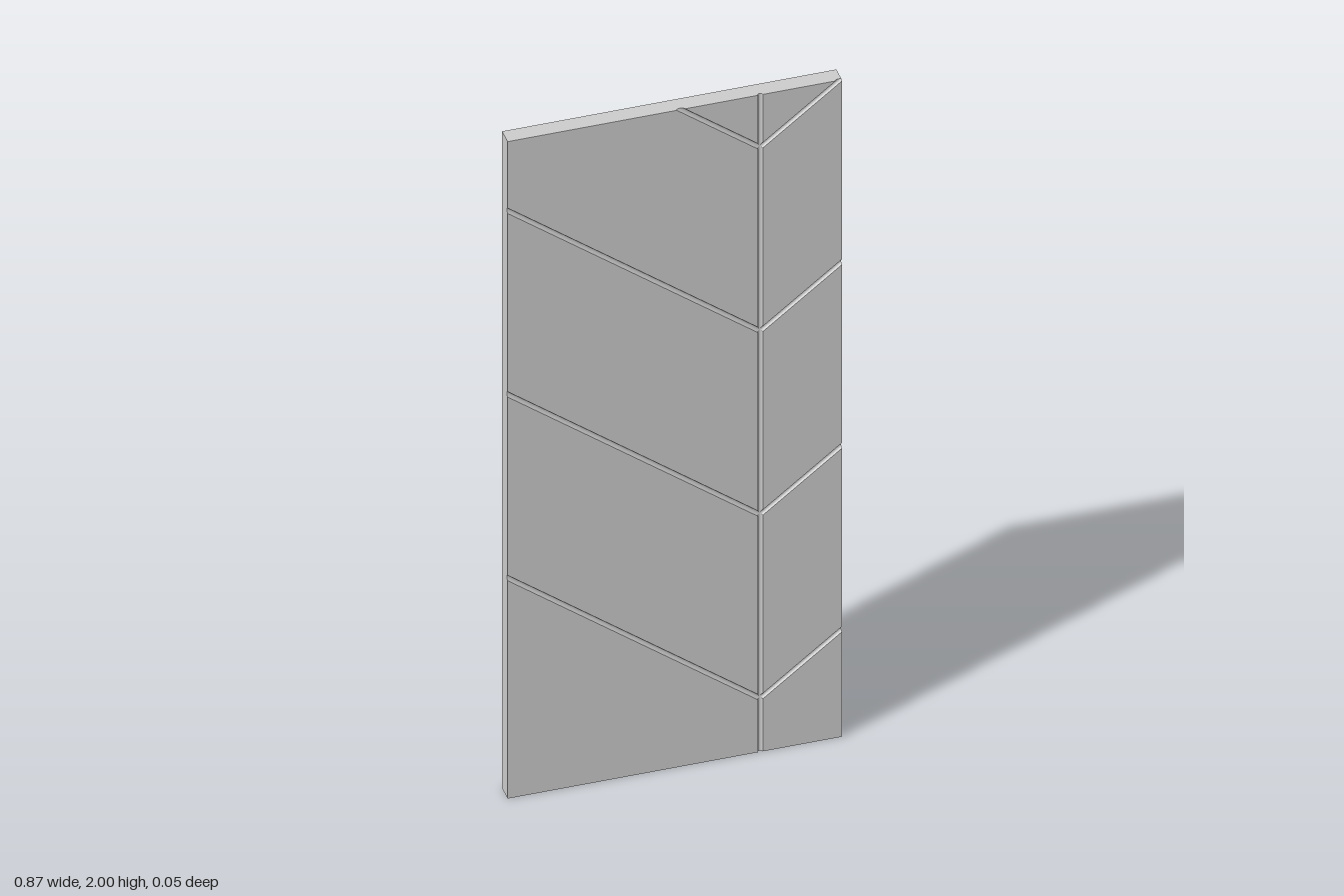
import * as THREE from 'three';

const HALF_W = 0.434, HEIGHT = 2, HALF_D = 0.023; // panel size
const R = 0.0065;                                 // groove radius
const SPINE_X = 0.222, SLOPE = 0.775;             // vertical groove, slant of the others
const JOINTS = [-10, 0.163, 0.722, 1.281, 1.84, 10]; // where slanted grooves meet the spine
const STEPS = 6;

// Outline of one tile, its grooved edges pulled back by w.
// side: +1 or -1 of the spine; low, high: joint heights bounding the tile.
function tileOutline(side, low, high, w) {
  const lift = w * Math.hypot(1, SLOPE);
  const clampY = (y) => THREE.MathUtils.clamp(y, 0, HEIGHT);
  const lower = (u) => clampY(low + lift + SLOPE * u);
  const upper = (u) => clampY(high - lift + SLOPE * u);
  const edge = side > 0 ? HALF_W - SPINE_X : HALF_W + SPINE_X;
  const outer = Math.min(edge, (HEIGHT - low - lift) / SLOPE);
  const bend = THREE.MathUtils.clamp((HEIGHT - high + lift) / SLOPE, w, outer);
  const points = [
    [w, lower(w)], [outer, lower(outer)],
    [outer, upper(outer)], [bend, upper(bend)], [w, upper(w)],
  ].map(([u, y]) => [SPINE_X + side * u, y]);
  return side > 0 ? points : points.reverse();
}

// Stack outlines from groove floor to front face, giving round concave edges.
function tileGeometry(side, low, high) {
  const rings = [];
  for (let i = 0; i <= STEPS; i++) {
    const a = (i / STEPS) * Math.PI / 2;
    const z = HALF_D - R * Math.cos(a);
    rings.push(tileOutline(side, low, high, R * Math.sin(a)).map(([x, y]) => [x, y, z]));
  }
  const pos = [];
  const tri = (a, b, c) => pos.push(...a, ...b, ...c);
  for (let i = 0; i < STEPS; i++) {
    const a = rings[i], b = rings[i + 1], n = a.length;
    for (let j = 0; j < n; j++) {
      const k = (j + 1) % n;
      tri(a[j], a[k], b[k]);
      tri(a[j], b[k], b[j]);
    }
  }
  const top = rings[STEPS];
  for (let j = 1; j < top.length - 1; j++) tri(top[0], top[j], top[j + 1]);
  const geometry = new THREE.BufferGeometry();
  geometry.setAttribute('position', new THREE.Float32BufferAttribute(pos, 3));
  geometry.computeVertexNormals();
  return geometry;
}

export function createModel() {
  const model = new THREE.Group();
  model.name = 'groovedPanel';
  const material = new THREE.MeshStandardMaterial({ color: 0xcccccc });

  // Solid backing up to the groove floor
  const depth = 2 * HALF_D - R;
  const backing = new THREE.Mesh(new THREE.BoxGeometry(2 * HALF_W, HEIGHT, depth), material);
  backing.position.set(0, HEIGHT / 2, -R / 2);
  backing.name = 'backing';
  model.add(backing);

  // Raised tiles on both sides of the spine groove
  for (const side of [1, -1]) {
    const column = new THREE.Group();
    column.name = side > 0 ? 'leftTiles' : 'rightTiles';
    for (let i = 0; i < JOINTS.length - 1; i++) {
      const tile = new THREE.Mesh(tileGeometry(side, JOINTS[i], JOINTS[i + 1]), material);
      tile.name = `tile${i + 1}`;
      column.add(tile);
    }
    model.add(column);
  }
  return model;
}
